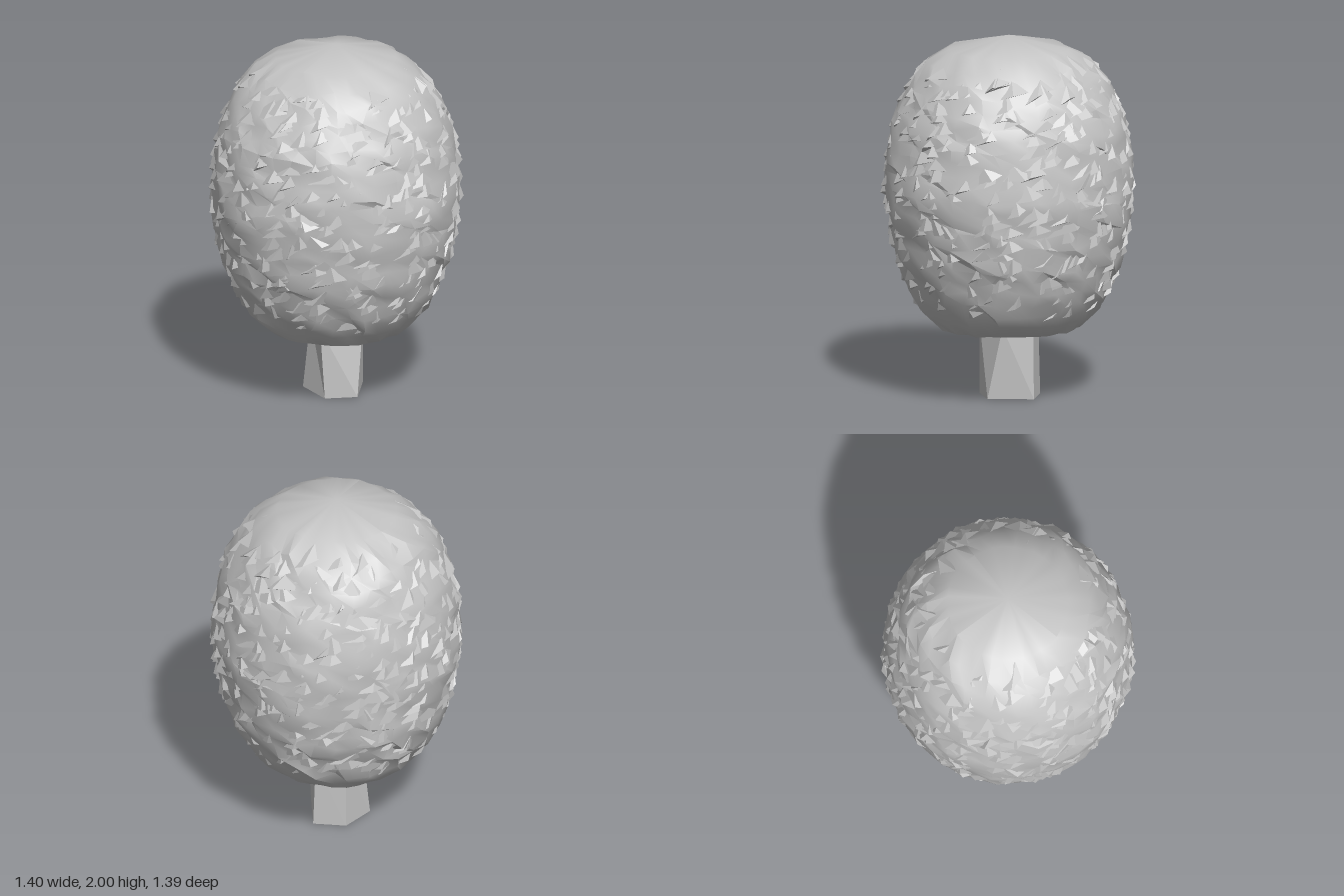
import * as THREE from 'three';
import { toCreasedNormals } from 'three/addons/utils/BufferGeometryUtils.js';

// crown outline as [radius, height], bottom to top
const OUTLINE = [[0, 0.355], [0.2, 0.36], [0.39, 0.39], [0.47, 0.46], [0.555, 0.6], [0.63, 0.8],
  [0.665, 1.0], [0.682, 1.15], [0.668, 1.35], [0.635, 1.52], [0.575, 1.68], [0.48, 1.82], [0.33, 1.925], [0, 2.0]];

function crownRadius(y) {
  for (let i = 1; i < OUTLINE.length; i++) {
    const [r0, y0] = OUTLINE[i - 1], [r1, y1] = OUTLINE[i];
    if (y <= y1) return r0 + (r1 - r0) * Math.max(0, (y - y0) / (y1 - y0));
  }
  return 0;
}

function seeded(seed) {
  return () => {
    seed = (seed * 16807) % 2147483647;
    return seed / 2147483647;
  };
}

function triangles(points) {
  const g = new THREE.BufferGeometry().setFromPoints(points);
  g.computeVertexNormals();
  return g;
}

// lumpy closed body: jittered rings on the outline
function crownBody() {
  const rand = seeded(71), sides = 36;
  const profile = [[0, 0.355], [0.2, 0.36], [0.39, 0.39], [0.47, 0.46]];
  for (let y = 0.53; y < 1.86; y += 0.066) profile.push([crownRadius(y), y]);
  profile.push([0.33, 1.925], [0, 2.0]);
  const n = profile.length;
  const g = new THREE.LatheGeometry(profile.map(([r, y]) => new THREE.Vector2(r, y)), sides);
  const pos = g.attributes.position;
  const jitter = Array.from({ length: sides * n }, () => [rand() - 0.5, rand() - 0.5, rand() - 0.5]);
  for (let i = 0; i < pos.count; i++) {
    const row = i % n, col = Math.floor(i / n) % sides;
    const [r, y] = profile[row];
    const [a, b, c] = jitter[col * n + row];
    const k = row < 2 || row > n - 2 ? 0 : row < 4 || row === n - 2 ? 0.3 : 1;
    const angle = (col / sides) * Math.PI * 2 + a * 0.12 * k;
    const radius = r + b * 0.028 * k;
    pos.setXYZ(i, Math.sin(angle) * radius, y + c * 0.045 * k, Math.cos(angle) * radius);
  }
  g.deleteAttribute('normal');
  return toCreasedNormals(g, 0.6);
}

// slanted pointed leaf ledges scattered around the body
function leafLedges() {
  const rand = seeded(2025), pts = [];
  const at = (angle, y, out) => {
    const r = crownRadius(y) + out;
    return new THREE.Vector3(Math.sin(angle) * r, y, Math.cos(angle) * r);
  };
  for (let row = 0; row < 25; row++) {
    const rowY = 0.53 + row * 0.0535;
    const count = Math.round(31 * crownRadius(rowY));
    for (let i = 0; i < count; i++) {
      const y = rowY + (rand() - 0.5) * 0.05;
      const angle = ((i + rand()) / count) * Math.PI * 2;
      const half = (0.05 + rand() * 0.07) / crownRadius(y);
      const rise = 0.01 + rand() * 0.028;
      const left = at(angle - half, y - rise, -0.012);
      const right = at(angle + half, y + rise, -0.012);
      const lip = at(angle + (rand() - 0.5) * half, y - 0.008 + rand() * 0.022, 0.01 + rand() * 0.014);
      const top = at(angle + (rand() - 0.3) * half, y + 0.06 + rand() * 0.03, -0.004);
      pts.push(left, lip, top, lip, right, top, left, right, lip);
    }
  }
  return triangles(pts);
}

// twisted five-sided trunk, lofted between two uneven pentagons
function trunkGeometry() {
  const low = [[0.1, 0.145], [0.165, -0.1], [0, -0.175], [-0.17, -0.07], [-0.08, 0.145]]
    .map(([x, z]) => new THREE.Vector3(x, 0, z));
  const high = [[0.14, 0.07], [0.15, -0.1], [0, -0.165], [-0.13, -0.06], [-0.105, 0.14]]
    .map(([x, z]) => new THREE.Vector3(x, 0.4, z));
  const pts = [], base = new THREE.Vector3();
  for (let i = 0; i < 5; i++) {
    const j = (i + 1) % 5;
    pts.push(low[i], low[j], high[i], low[j], high[j], high[i], base, low[j], low[i]);
  }
  return triangles(pts);
}

export function createModel() {
  const grey = new THREE.MeshStandardMaterial({ color: 0xc4c4c4 });
  grey.name = 'plainGrey';
  const model = new THREE.Group();
  model.name = 'tree';
  const add = (name, geometry) => {
    const mesh = new THREE.Mesh(geometry, grey);
    mesh.name = name;
    model.add(mesh);
  };
  add('trunk', trunkGeometry());
  add('crown', crownBody());
  add('leafLedges', leafLedges());
  return model;
}
